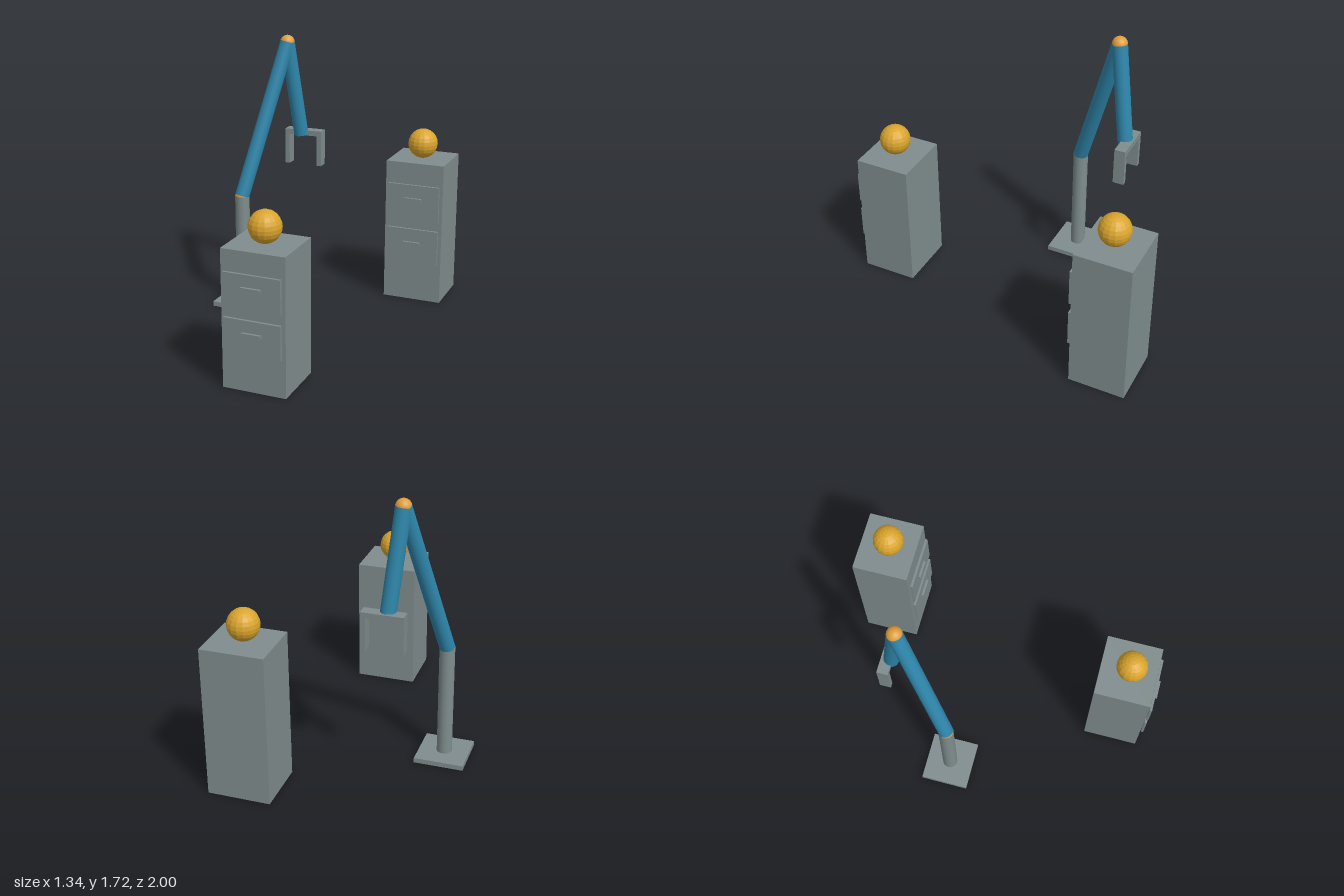
import * as THREE from 'three';

const mat = (name, color, flatShading = false) => {
  const m = new THREE.MeshStandardMaterial({ color, flatShading });
  m.name = name;
  return m;
};

export function createModel() {
  const grey = mat('grey metal', 0x7f8c8d);
  const blue = mat('arm blue', 0x2e86ab);
  const orange = mat('joint orange', 0xe09f3e);
  const gold = mat('ball gold', 0xdaa52d, true);
  const model = new THREE.Group();
  model.name = 'robotArmAndCabinets';

  const add = (parent, name, geometry, material, x, y, z) => {
    const mesh = new THREE.Mesh(geometry, material);
    mesh.name = name;
    mesh.position.set(x, y, z);
    parent.add(mesh);
    return mesh;
  };
  const box = (parent, name, w, h, d, x, y, z) =>
    add(parent, name, new THREE.BoxGeometry(w, h, d), grey, x, y, z);
  const group = (name) => {
    const g = new THREE.Group();
    g.name = name;
    model.add(g);
    return g;
  };

  // Cabinet with two raised drawers, their handles and a ball on top
  const cabinet = (name, x, z, height, drawerHeight, drawerYs) => {
    const g = group(name);
    g.position.set(x, 0, z);
    box(g, 'cabinetBody', 0.38, height, 0.346, 0, height / 2, 0);
    for (const y of drawerYs) {
      box(g, 'drawer', 0.34, drawerHeight, 0.015, 0, y, 0.188);
      box(g, 'drawerHandle', 0.115, 0.016, 0.015, 0, y + 0.022, 0.203);
    }
    add(g, 'ball', new THREE.SphereGeometry(0.095, 16, 12), gold, 0, height + 0.095, 0.01);
  };
  cabinet('frontCabinet', 0.1, 0.79, 0.815, 0.2, [0.33, 0.592]);
  cabinet('backCabinet', 0.475, -0.827, 0.925, 0.23, [0.375, 0.67]);

  // Robot arm: base, column, two tilted links and ball joints
  const arm = group('robotArm');
  const R = 0.046;
  const shoulder = new THREE.Vector3(-0.52, 0.725, -0.187);
  const elbow = new THREE.Vector3(-0.33, 1.675, -0.48);
  const wrist = new THREE.Vector3(-0.274, 1.066, -0.57);
  const link = (name, a, b, material) => {
    const dir = b.clone().sub(a);
    const mid = a.clone().add(b).multiplyScalar(0.5);
    const mesh = add(arm, name, new THREE.CylinderGeometry(R, R, dir.length(), 32), material, mid.x, mid.y, mid.z);
    mesh.quaternion.setFromUnitVectors(new THREE.Vector3(0, 1, 0), dir.normalize());
  };
  box(arm, 'basePlate', 0.3, 0.03, 0.296, -0.52, 0.015, -0.187);
  link('column', new THREE.Vector3(-0.52, 0.03, -0.187), shoulder, grey);
  link('upperArm', shoulder, elbow, blue);
  link('forearm', wrist, elbow, blue);
  for (const [name, p] of [['shoulderJoint', shoulder], ['elbowJoint', elbow]]) {
    add(arm, name, new THREE.SphereGeometry(R, 32, 16), orange, p.x, p.y, p.z);
  }

  // Gripper: crossbar, two fingers and a small wrist pivot
  const gripper = group('gripper');
  gripper.position.set(-0.257, 0, -0.592);
  box(gripper, 'gripperBar', 0.25, 0.034, 0.068, 0, 1.078, 0);
  for (const side of [-1, 1]) {
    box(gripper, 'gripperFinger', 0.03, 0.197, 0.068, side * 0.11, 0.9635, 0);
  }
  add(gripper, 'wristPivot', new THREE.SphereGeometry(0.022, 16, 12), grey, -0.015, 1.068, 0);

  return model;
}
